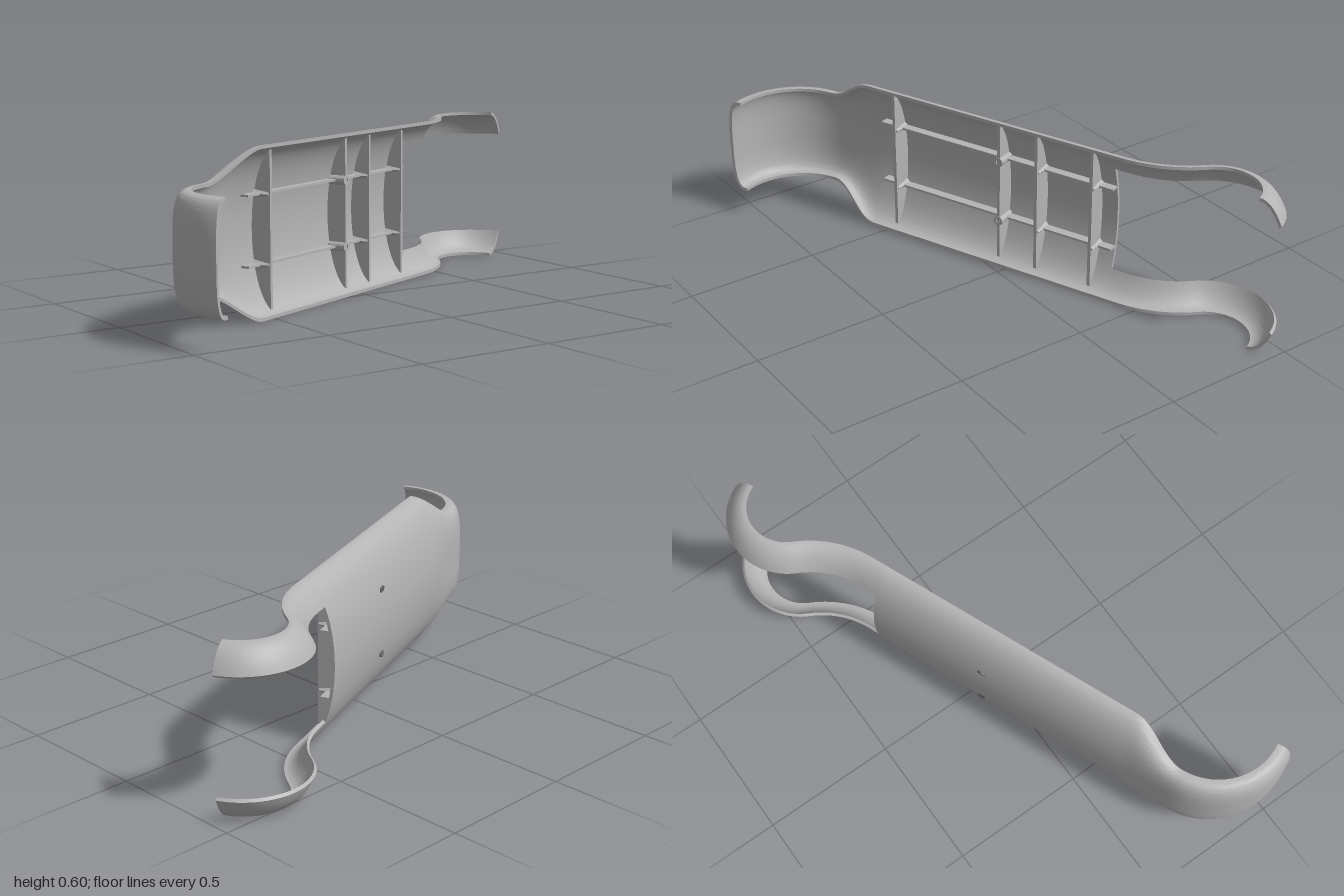
import * as THREE from 'three';
import { toCreasedNormals } from 'three/addons/utils/BufferGeometryUtils.js';

const RAD = Math.PI / 180;
const TILT = 0.387;                       // the panel's turn about y
const U = [Math.cos(TILT), -Math.sin(TILT)]; // along the panel, in (x, z)
const N = [Math.sin(TILT), Math.cos(TILT)];  // towards the hollow side
const P0 = [0.33, -0.30];                 // middle of the forked end
const MID = 0.298, WALL = 0.012;

const at = (u, d) => [P0[0] + u * U[0] + d * N[0], P0[1] + u * U[1] + d * N[1]];

// A frame is a spine point, its hollow-side normal, and k: 0 wide panel, 1 narrow hook
function lineFrame(u, k = 0) {
  const [x, z] = at(u, 0);
  return { x, z, nx: N[0], nz: N[1], k };
}

function arcFrames([cx, cz], r, a0, a1, steps, inward, k) {
  const out = [];
  for (let i = 0; i <= steps; i++) {
    const a = (a0 + (a1 - a0) * i / steps) * RAD, c = Math.cos(a), s = Math.sin(a);
    out.push({ x: cx + r * c, z: cz + r * s, nx: inward * c, nz: inward * s, k });
  }
  return out;
}

// Half-ellipse section, squarer at the hook; t insets it by the wall
function section(f, th, t) {
  const W = THREE.MathUtils.lerp(MID, 0.19, f.k) - t;
  const D = THREE.MathUtils.lerp(0.12, 0.062, f.k) - t;
  const p = 2 / THREE.MathUtils.lerp(2, 3.3, f.k);
  const s = Math.sin(th), c = Math.max(0, Math.cos(th));
  return [W * Math.sign(s) * Math.abs(s) ** p, t + D * (1 - c ** p)];
}

// Solid swept along frames between a back and a front curve, each (frame, angle) -> [y, depth]
function sweep(frames, th0, th1, steps, back, front) {
  const pos = [], idx = [], L = 2 * (steps + 1);
  for (const f of frames) {
    for (let j = 0; j < L; j++) {
      const isBack = j <= steps, i = isBack ? j : L - 1 - j;
      const [y, d] = (isBack ? back : front)(f, th0 + (th1 - th0) * i / steps);
      pos.push(f.x + f.nx * d, MID + y, f.z + f.nz * d);
    }
  }
  for (let i = 0; i < frames.length - 1; i++) {
    for (let j = 0; j < L; j++) {
      const k = (j + 1) % L, a = i * L + j, c = i * L + k;
      idx.push(a, c, a + L, a + L, c, c + L);
    }
  }
  const e = (frames.length - 1) * L;
  for (let j = 0; j < steps; j++) {
    const o = j, o2 = j + 1, n = L - 1 - j, n2 = L - 2 - j;
    idx.push(o, n, o2, o2, n, n2);
    idx.push(e + o, e + o2, e + n, e + o2, e + n2, e + n);
  }
  const g = new THREE.BufferGeometry();
  g.setAttribute('position', new THREE.Float32BufferAttribute(pos, 3));
  g.setIndex(idx);
  return toCreasedNormals(g, 0.6);
}

const outer = (f, th) => section(f, th, 0);
const inner = (f, th) => section(f, th, WALL);

export function createModel() {
  const model = new THREE.Group();
  model.name = 'forkedClip';
  const grey = new THREE.MeshStandardMaterial({ color: 0xb4b4b4 });
  grey.name = 'grey plastic';
  const dark = new THREE.MeshStandardMaterial({ color: 0x6c6c6c });
  dark.name = 'hole shade';
  const add = (name, geo, parent = model, mat = grey) => {
    const m = new THREE.Mesh(geo, mat);
    m.name = name;
    parent.add(m);
    return m;
  };

  // Hook and panel in one sweep, narrowing between them
  const uHook = -1.231, uWide = -1.01;
  const body = arcFrames(at(uHook, 0.297), 0.297, 152.6, 247.83, 28, -1, 1);
  for (let i = 1; i <= 16; i++) {
    const t = i / 16;
    body.push(lineFrame(uHook + (uWide - uHook) * t, 1 - t * t * (3 - 2 * t)));
  }
  body.push(lineFrame(-0.5), lineFrame(0));
  add('hookAndPanel', sweep(body, -Math.PI / 2, Math.PI / 2, 48, outer, inner));

  // Two fork arms: an easy back bend, then an arch
  const arm = [
    lineFrame(0),
    ...arcFrames(at(0.0647, -0.30), 0.30, 67.83, 27.1, 14, 1, 0),
    ...arcFrames(at(0.4337, 0.128), 0.265, 207.1, 335.7, 32, -1, 0).slice(1),
  ];
  const a0 = Math.asin(0.71), a1 = Math.PI / 2;
  add('leftUpperArm', sweep(arm, a0, a1, 14, outer, inner));
  add('lowerArm', sweep(arm, -a1, -a0, 14, outer, inner));

  // Crescent cross ribs
  const ribUs = [-0.918, -0.454, -0.296, -0.069], ribDepth = 0.09;
  const ribEnd = Math.acos((0.12 - ribDepth) / (0.12 - WALL));
  const ribBack = (f, th) => section(f, th, WALL - 0.003);
  const ribFront = (f, th) => [section(f, th, WALL)[0], ribDepth];
  for (const u of ribUs) {
    add('crossRib', sweep([lineFrame(u - 0.006), lineFrame(u + 0.006)], -ribEnd, ribEnd, 28, ribBack, ribFront));
  }

  // Details laid out along the panel: x along it, z its depth
  const details = new THREE.Group();
  details.name = 'panelDetails';
  details.position.set(P0[0], MID, P0[1]);
  details.rotation.y = TILT;
  model.add(details);

  for (const y of [-0.122, 0.122]) {
    add('longRib', new THREE.BoxGeometry(1.0, 0.008, 0.04), details).position.set(-0.5, y, 0.035);

    // Gussets where the ribs cross
    for (const u of ribUs) {
      const g = new THREE.CylinderGeometry(0.012, 0.022, 0.07, 4).rotateX(Math.PI / 2);
      add('gusset', toCreasedNormals(g, 0.3), details).position.set(u, y, 0.05);
    }

    // Screw boss inside, with its hole showing on the back
    const ring = new THREE.LatheGeometry([
      [0.009, 0.0], [0.018, 0.0], [0.018, 0.075], [0.009, 0.075], [0.009, 0.0],
    ].map(([r, h]) => new THREE.Vector2(r, h)), 20).rotateX(Math.PI / 2);
    add('screwBoss', toCreasedNormals(ring, 0.6), details).position.set(ribUs[1], y, 0.017);

    const disc = new THREE.CylinderGeometry(0.016, 0.016, 0.006, 20).rotateX(Math.PI / 2);
    const hole = add('screwHole', disc, details, dark);
    hole.position.set(ribUs[1], y, 0.0105);
    hole.rotation.x = -Math.sign(y) * 0.18;
  }
  return model;
}
